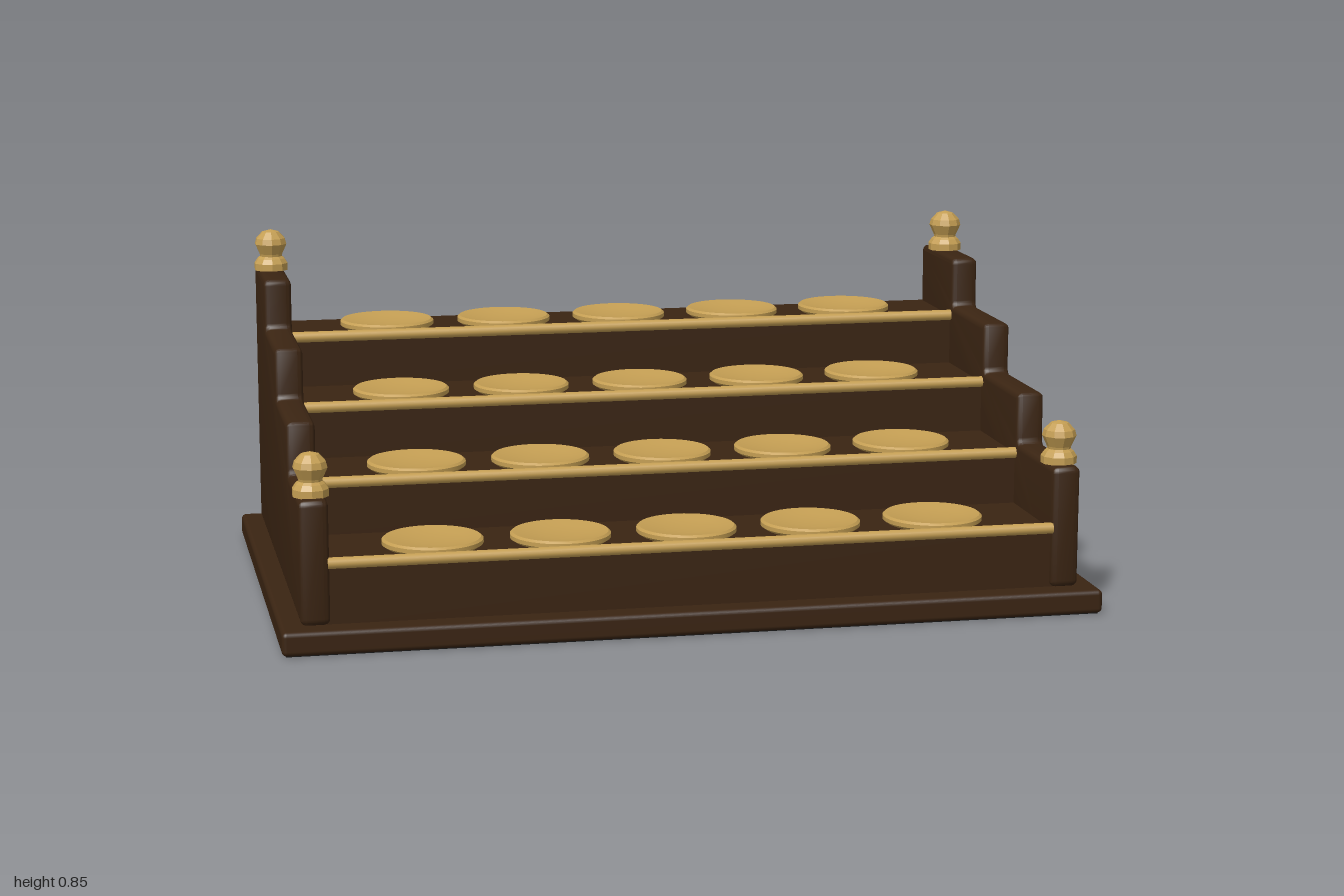
import * as THREE from 'three';
import { toCreasedNormals } from 'three/addons/utils/BufferGeometryUtils.js';
import { RoundedBoxGeometry } from 'three/addons/geometries/RoundedBoxGeometry.js';

const TIERS = 4, DEPTH = 0.288, RISE = 0.1285;

const mat = (name, color) => {
  const m = new THREE.MeshStandardMaterial({ color });
  m.name = name;
  return m;
};

// Closed outline with every corner softened by a small fillet
function roundedShape(points, r) {
  const pts = points.map(([x, y]) => new THREE.Vector2(x, y));
  const toward = (a, b) => a.clone().add(b.clone().sub(a).setLength(r));
  const shape = new THREE.Shape();
  pts.forEach((p, i) => {
    const a = toward(p, pts.at(i - 1));
    const b = toward(p, pts[(i + 1) % pts.length]);
    if (i === 0) shape.moveTo(a.x, a.y);
    else shape.lineTo(a.x, a.y);
    shape.quadraticCurveTo(p.x, p.y, b.x, b.y);
  });
  shape.closePath();
  return shape;
}

// Staircase outline in (z, y): rises from the front towards the back
function stairs(front, back, bottom, firstTop, rise) {
  const pts = [[back, bottom], [front, bottom]];
  for (let i = 0; i < TIERS; i++) {
    const top = firstTop + i * rise;
    pts.push([front - i * DEPTH, top]);
    pts.push([i === TIERS - 1 ? back : front - (i + 1) * DEPTH, top]);
  }
  return pts;
}

// Extrude a (z, y) outline along x, centred on x = 0
function extrudeAcross(shape, width, bevel) {
  const geo = new THREE.ExtrudeGeometry(shape, {
    depth: width - 2 * bevel, curveSegments: 4,
    bevelEnabled: bevel > 0, bevelSize: bevel, bevelThickness: bevel,
    bevelOffset: -bevel, bevelSegments: 3,
  });
  geo.translate(0, 0, bevel - width / 2);
  geo.rotateY(-Math.PI / 2);
  return toCreasedNormals(geo, 0.7);
}

const lathe = (pts, segments) =>
  new THREE.LatheGeometry(pts.map(([x, y]) => new THREE.Vector2(x, y)), segments);

export function createModel() {
  const group = new THREE.Group();
  group.name = 'tieredDisplayStand';
  const wood = mat('dark wood', 0x3a2412);
  const brass = mat('brass', 0xc49e53);
  const felt = mat('black felt', 0x161616);

  const add = (name, geo, material, x = 0, y = 0, z = 0) => {
    const mesh = new THREE.Mesh(geo, material);
    mesh.name = name;
    mesh.position.set(x, y, z);
    group.add(mesh);
    return mesh;
  };

  // Base board with felt underneath
  add('base', new RoundedBoxGeometry(2, 0.058, 1.25, 3, 0.012), wood, 0, 0.031, 0);
  add('feltPad', new THREE.BoxGeometry(1.98, 0.006, 1.23), felt, 0, 0.003, 0);

  // Stepped body between the side panels
  const body = new THREE.Shape(
    stairs(0.563, -0.568, 0.055, 0.206, RISE).map(([z, y]) => new THREE.Vector2(z, y)));
  add('steps', extrudeAcross(body, 1.78, 0), wood);

  // Stepped side panels with rounded edges
  const panel = extrudeAcross(
    roundedShape(stairs(0.577, -0.575, 0.06, 0.36, 0.1285), 0.016), 0.07, 0.014);
  for (const side of [-1, 1]) {
    add(side > 0 ? 'leftPanel' : 'rightPanel', panel, wood, side * 0.916, 0, 0);
  }

  // Brass rail on the nose of each step, and a row of shallow dishes
  const rail = new THREE.CylinderGeometry(0.014, 0.014, 1.77, 12).rotateZ(Math.PI / 2);
  const dish = toCreasedNormals(lathe([
    [0, 0], [0.112, 0], [0.122, 0.007], [0.122, 0.017], [0.116, 0.022],
    [0.108, 0.021], [0.08, 0.015], [0.04, 0.011], [0, 0.01],
  ], 40), 0.6);
  for (let t = 0; t < TIERS; t++) {
    const y = 0.208 + t * RISE;
    add('stepRail', rail, brass, 0, y, 0.566 - t * DEPTH);
    for (let i = -2; i <= 2; i++) {
      add('dish', dish, brass, i * 0.31, y - 0.002, 0.43 - t * DEPTH);
    }
  }

  // Faceted finials on the front and back ends of both panels
  const finial = lathe([
    [0, 0], [0.044, 0], [0.044, 0.018], [0.036, 0.03], [0.029, 0.036],
    [0.03, 0.042], [0.042, 0.068], [0.038, 0.083], [0.022, 0.1], [0, 0.106],
  ], 10).toNonIndexed();
  finial.computeVertexNormals();
  for (const x of [-0.916, 0.916]) {
    add('frontFinial', finial, brass, x, 0.359, 0.51);
    add('backFinial', finial, brass, x, 0.745, -0.477);
  }
  return group;
}
